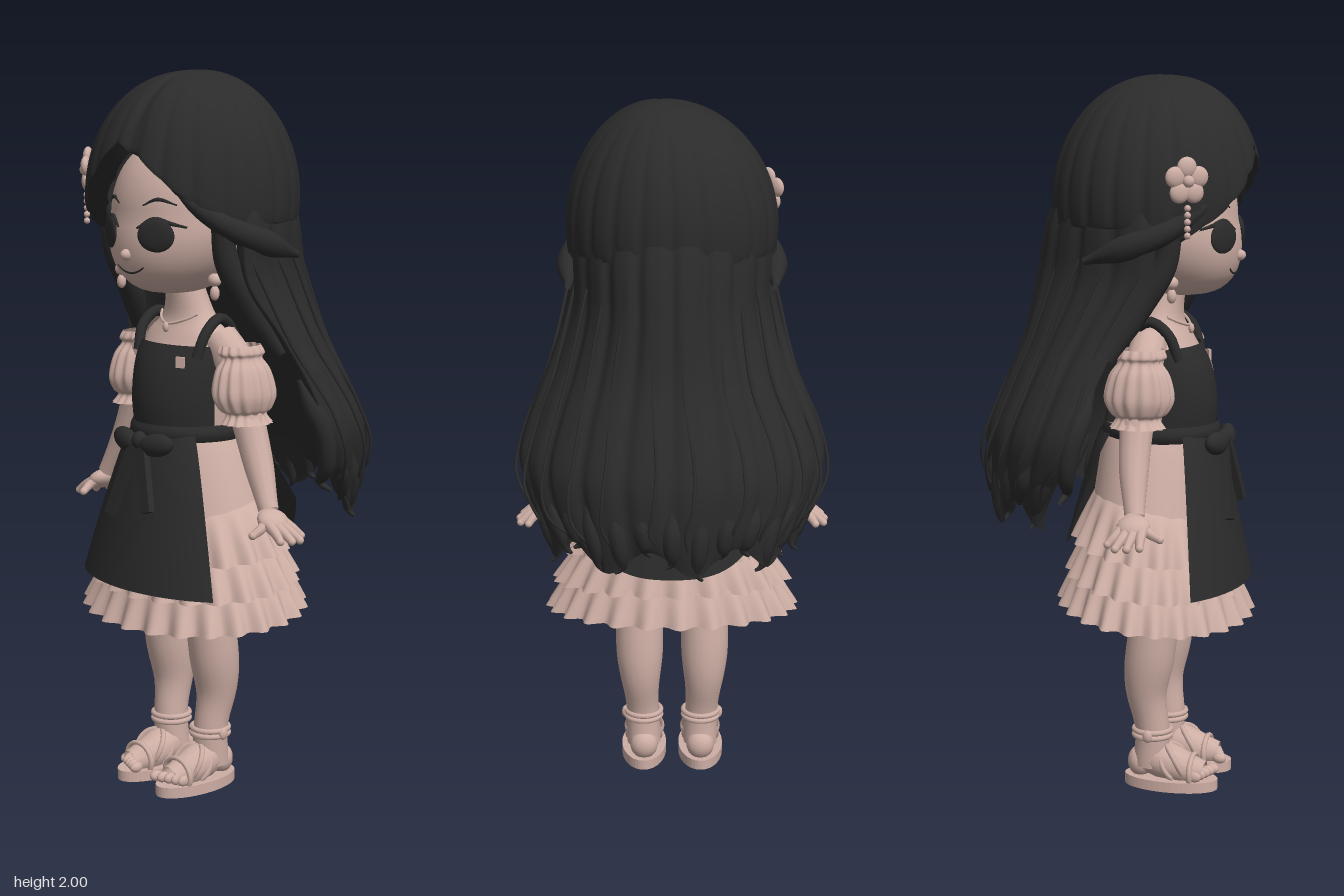
import * as THREE from 'three';
import { mergeVertices } from 'three/addons/utils/BufferGeometryUtils.js';

const skin = new THREE.MeshStandardMaterial({ color: 0xcdaea4, side: THREE.DoubleSide });
skin.name = 'warm skin and cloth';
const dark = new THREE.MeshStandardMaterial({ color: 0x2b2b2b, side: THREE.DoubleSide });
dark.name = 'soft black';

const { sin, cos, abs, PI, sqrt, pow, min, max } = Math;
const V = (p) => new THREE.Vector3(...p);

export function createModel() {
  const root = new THREE.Group();
  root.name = 'doll';

  function add(name, geo, mat, parent = root) {
    const m = new THREE.Mesh(geo, mat);
    m.name = name;
    parent.add(m);
    return m;
  }
  // Smooth grid surface from fn(u, v) -> [x, y, z]
  function surf(name, mat, nu, nv, fn, parent) {
    const pos = [], idx = [];
    for (let j = 0; j <= nv; j++)
      for (let i = 0; i <= nu; i++) pos.push(...fn(i / nu, j / nv));
    for (let j = 0; j < nv; j++)
      for (let i = 0; i < nu; i++) {
        const a = j * (nu + 1) + i, b = a + nu + 1;
        idx.push(a, a + 1, b, a + 1, b + 1, b);
      }
    let g = new THREE.BufferGeometry();
    g.setAttribute('position', new THREE.Float32BufferAttribute(pos, 3));
    g.setIndex(idx);
    g = mergeVertices(g, 1e-5);
    g.computeVertexNormals();
    return add(name, g, mat, parent);
  }
  // Catmull-Rom sample of a table of rows
  function sample(rows, t) {
    const f = t * (rows.length - 1), i = min(Math.floor(f), rows.length - 2), k = f - i;
    const r = (n) => rows[max(0, min(rows.length - 1, n))];
    return rows[0].map((_, c) => {
      const [p, a, b, q] = [r(i - 1)[c], r(i)[c], r(i + 1)[c], r(i + 2)[c]];
      return a + 0.5 * k * (b - p + k * (2 * p - 5 * a + 4 * b - q + k * (3 * (a - b) + q - p)));
    });
  }
  // Tapered tube along points, radii spread evenly along it
  function limb(name, mat, pts, radii, parent, seg = 24, sides = 12) {
    const curve = new THREE.CatmullRomCurve3(pts.map(V));
    const fr = curve.computeFrenetFrames(seg, false), rows = radii.map((r) => [r]);
    return surf(name, mat, sides, seg, (u, v) => {
      const k = Math.round(v * seg), p = curve.getPointAt(v), r = sample(rows, v)[0], a = u * 2 * PI;
      return p.addScaledVector(fr.normals[k], r * cos(a)).addScaledVector(fr.binormals[k], r * sin(a)).toArray();
    }, parent);
  }
  function ball(name, mat, p, s, parent, ry = 0) {
    const m = add(name, new THREE.SphereGeometry(1, 20, 14), mat, parent);
    m.position.set(...p);
    m.scale.set(...s);
    m.rotation.y = ry;
    return m;
  }
  const sides = (fn) => [['left', 1], ['right', -1]].forEach(([n, s]) => fn(n, s));

  // Head, with the chin pushed forward
  const faceZ = (x, y) => {
    const c = (y - 1.61) / 0.21, s = max(0, -c), w = pow(sqrt(1 - c * c), 0.72);
    return 0.12 + 0.06 * s + 0.21 * w * sqrt(max(0, 1 - (x / (0.22 * w * (1 - 0.15 * s * s))) ** 2));
  };
  surf('head', skin, 40, 28, (u, v) => {
    const c = cos(v * PI), s = max(0, -c), w = pow(max(0, sin(v * PI)), 0.72), a = u * 2 * PI;
    return [0.22 * w * (1 - 0.15 * s * s) * sin(a), 1.61 + 0.21 * c, 0.12 + 0.06 * s + 0.21 * w * cos(a)];
  });
  ball('nose', skin, [0, 1.512, 0.337], [0.016, 0.016, 0.021]);
  const smile = [-0.055, -0.03, 0, 0.03, 0.055].map((x) => [x, 1.462 + 6 * x * x, faceZ(x, 1.462 + 6 * x * x)]);
  limb('mouth', dark, smile, [0.002, 0.003, 0.002]);
  sides((n, s) => {
    ball(n + 'Eye', dark, [s * 0.097, 1.567, faceZ(0.097, 1.567)], [0.055, 0.044, 0.01], root, s * 0.42);
    const lash = [[0.04, 1.585], [0.085, 1.61], [0.13, 1.6], [0.165, 1.59]];
    limb(n + 'Lashes', dark, lash.map(([x, y]) => [s * x, y, faceZ(x, y) + 0.003]), [0.003, 0.007, 0.003]);
    const brow = [[0.05, 1.645], [0.09, 1.662], [0.14, 1.648]];
    limb(n + 'Brow', dark, brow.map(([x, y]) => [s * x, y, faceZ(x, y)]), [0.002, 0.005, 0.002]);
    ball(n + 'Ear', skin, [s * 0.2, 1.51, 0.17], [0.022, 0.04, 0.03]);
    ball(n + 'Earring', skin, [s * 0.2, 1.45, 0.2], [0.02, 0.018, 0.018]);
    ball(n + 'EarringDrop', skin, [s * 0.2, 1.415, 0.2], [0.013, 0.02, 0.013]);
  });

  // Hair cap, parted above the forehead, full in front and tucked in at the rim
  surf('hairCap', dark, 180, 32, (u, v) => {
    const a = u * 2 * PI - PI, x0 = 0.295 * sin(a), front = max(0, cos(a));
    const rim = abs(a) < 1.35 ? 1.81 - 0.92 * max(0, abs(x0 - 0.03) - 0.03) : 1.6;
    const t = min(1, v * 32 / 28), tuck = max(0, v * 32 - 28) ** 2 * 0.012;
    const th = t * Math.acos((rim - 1.66) / 0.34);
    const groove = 0.025 * pow(abs(cos(a * 11)), 8) * sin(th);
    const part = 0.025 * Math.exp(-(((a - 0.18) / 0.08) ** 2)) * sin(th);
    const r = pow(sin(th), 1 - 0.2 * front) * (1 - groove - part - tuck);
    return [0.295 * r * sin(a) + 0.03 * (1 - sin(min(th, PI / 2))),
      1.66 + 0.34 * cos(th) - part - tuck * 0.1, 0.1 + (cos(a) > 0 ? 0.303 : 0.285) * r * cos(a)];
  });
  // Swept locks over the temples
  sides((n, s) => limb(n + 'TempleLock', dark, [[s * 0.16, 1.71, 0.32], [s * 0.215, 1.645, 0.275], [s * 0.268, 1.585, 0.19], [s * 0.287, 1.55, 0.1], [s * 0.285, 1.51, -0.02]],
    [0.006, 0.022, 0.032, 0.034, 0.01], root, 36));

  // Long hair: crescent sections of [y, half width, back z, front z, inner ratio]
  const hairRows = [[1.75, 0.262, -0.15, 0.11, 0.5], [1.6, 0.296, -0.205, 0.17, 0.5], [1.45, 0.297, -0.235, 0.165, 0.5],
    [1.3, 0.34, -0.265, 0.08, 0.55], [1.18, 0.39, -0.31, 0.03, 0.6], [1.05, 0.43, -0.36, -0.01, 0.65],
    [0.95, 0.41, -0.37, -0.05, 0.75], [0.87, 0.37, -0.365, -0.1, 0.85], [0.82, 0.35, -0.355, -0.12, 0.97]];
  const hairPoint = (b, t, out = 1) => {
    const [y, w, zb, zf] = sample(hairRows, t);
    return [w * sin(b) * out, y + max(0, t - 0.8) * 0.18 * sin(b * 9), zf + (zb - zf) * cos(b) * out];
  };
  surf('longHair', dark, 200, 48, (u, v) => {
    const outer = u <= 0.65, b = outer ? (u / 0.65 - 0.5) * PI : (0.5 - (u - 0.65) / 0.35) * PI;
    const [, , , zf, ratio] = sample(hairRows, v);
    const p = hairPoint(b, v, outer ? 1 - 0.035 * pow(abs(cos(b * 10)), 6) : 1);
    if (!outer) {
      p[0] *= 0.7 + 0.3 * ratio;
      p[2] = zf + (p[2] - zf) * ratio;
    }
    return p;
  });
  // Curled tips along the hem and fine loose strands
  for (let i = 0; i < 15; i++) {
    const b = (i / 14 - 0.5) * 2.9, d = i % 2 ? 0.02 : -0.015;
    const top = hairPoint(b, 0.72, 0.94), mid = hairPoint(b, 0.88, 0.95), end = hairPoint(b, 1, 0.96);
    limb('hairTip', dark, [top, mid, end, [end[0] + d, end[1] - 0.02 + abs(d) * 0.4, end[2] - 0.005]],
      [0.012, 0.028, 0.024, 0.004], root, 16, 8);
  }
  for (const b of [-1.5, -1.2, -0.95, -0.7, -0.45, -0.12, 0.12, 0.45, 0.7, 0.95, 1.2, 1.5]) {
    const pts = [0.2, 0.4, 0.58, 0.7, 0.8, 0.9].map((t, i) => hairPoint(b + 0.03 * sin(i * 2), t, [0.97, 0.99, 1, 1.04, 1.03, 0.97][i]));
    limb('looseStrand', dark, pts, [0.005, 0.005, 0.004], root, 30, 6);
  }
  sides((n, s) => {
    limb(n + 'FaceLock', dark, [[s * 0.24, 1.6, 0.21], [s * 0.238, 1.5, 0.19], [s * 0.255, 1.38, 0.12], [s * 0.3, 1.25, 0.05]], [0.03, 0.035, 0.035, 0.02]);
    limb(n + 'SideCurl', dark, [[s * 0.34, 1.18, 0.02], [s * 0.395, 1.04, -0.02], [s * 0.385, 0.94, -0.04], [s * 0.35, 0.89, -0.05], [s * 0.385, 0.87, -0.06]], [0.01, 0.032, 0.028, 0.022, 0.005]);
  });

  // Flower clip with a short bead drop
  const clip = new THREE.Group();
  clip.name = 'flowerClip';
  clip.position.set(-0.268, 1.725, 0.255);
  clip.rotation.y = -0.85;
  root.add(clip);
  for (let i = 0; i < 5; i++) {
    const a = i * 0.4 * PI + PI / 2;
    ball('petal', skin, [0.036 * cos(a), 0.036 * sin(a), 0.005], [0.028, 0.028, 0.014], clip);
  }
  ball('flowerCentre', skin, [0, 0, 0.015], [0.016, 0.016, 0.014], clip);
  for (let i = 0; i < 5; i++) ball('bead', skin, [0, -0.07 - i * 0.018, 0.01], [0.009, 0.009, 0.009], clip);

  // Torso, apron bib and straps
  const torso = [[1.0, 0.14, 0.14, 0.12], [1.1, 0.15, 0.135, 0.132], [1.2, 0.155, 0.115, 0.132],
    [1.28, 0.148, 0.085, 0.12], [1.34, 0.085, 0.06, 0.12], [1.44, 0.05, 0.05, 0.14]];
  const bodyRing = (a, t, grow) => {
    const [y, rx, rz, zc] = sample(torso, t);
    return [(rx + grow) * sin(a), y, zc + (rz + grow) * cos(a)];
  };
  surf('torso', skin, 36, 24, (u, v) => bodyRing(u * 2 * PI, v, 0));
  surf('apronBib', dark, 30, 12, (u, v) => bodyRing((u - 0.5) * 2.7, 0.04 + v * 0.51, 0.01));
  surf('waistBand', dark, 48, 6, (u, v) => {
    const bulge = 0.018 + 0.008 * sin(v * PI), a = u * 2 * PI;
    return [(0.14 + bulge) * sin(a), 1.0 + 0.045 * v, 0.12 + (0.14 + bulge) * cos(a)];
  });
  sides((n, s) => limb(n + 'Strap', dark, [[s * 0.125, 1.23, 0.2], [s * 0.135, 1.3, 0.175], [s * 0.13, 1.335, 0.12], [s * 0.11, 1.27, 0.045], [s * 0.09, 1.05, -0.005]], [0.015, 0.015]));
  const chain = [-0.075, -0.05, 0, 0.05, 0.075].map((x) => [x, 1.315 + 5 * x * x, 0.2 - 8 * x * x]);
  limb('necklace', skin, chain, [0.004, 0.004], root, 24, 6);
  ball('pendant', skin, [0, 1.305, 0.205], [0.01, 0.014, 0.008]);
  const patch = add('bibPatch', new THREE.BoxGeometry(0.025, 0.03, 0.008), skin);
  patch.position.set(0.095, 1.22, 0.233);
  patch.rotation.y = 0.5;

  // Skirt and three tilted ruffles: [top y, bottom y, rx top, rx bottom, rz top, rz bottom]
  const flare = (name, mat, [y0, y1, x0, x1, z0, z1], a0, a1, waves, lift, nu, hem = () => 0) =>
    surf(name, mat, nu, 10, (u, v) => {
      const a = a0 + (a1 - a0) * u, t = pow(v, 0.85);
      const w = waves ? v * sin(a * waves) * 0.014 : 0;
      return [(x0 + (x1 - x0) * t + w) * sin(a), y0 + (y1 + hem(u) - y0) * v + lift * (1 - cos(a)),
        0.108 + (z0 + (z1 - z0) * t + w) * cos(a)];
    });
  flare('skirt', skin, [1.02, 0.68, 0.135, 0.26, 0.14, 0.19], 0, 2 * PI, 0, 0.02, 60);
  flare('upperRuffle', skin, [0.8, 0.665, 0.215, 0.315, 0.165, 0.222], 0, 2 * PI, 20, 0.03, 200);
  flare('middleRuffle', skin, [0.7, 0.57, 0.25, 0.34, 0.18, 0.238], 0, 2 * PI, 22, 0.03, 200);
  flare('lowerRuffle', skin, [0.62, 0.485, 0.28, 0.36, 0.205, 0.262], 0, 2 * PI, 24, 0.03, 220);
  flare('apronFront', dark, [1.02, 0.595, 0.18, 0.37, 0.168, 0.264], -0.87, 0.87, 0, 0, 30);
  flare('apronBack', dark, [1.02, 0.69, 0.17, 0.33, 0.16, 0.25], PI - 0.9, PI + 0.9, 0, 0, 30, (u) => 0.14 * pow(abs(2 * u - 1), 3));

  // Waist bow with hanging tails
  ball('bowKnot', dark, [0, 1.0, 0.3], [0.024, 0.026, 0.022]);
  sides((n, s) => {
    ball(n + 'BowLoop', dark, [s * 0.066, 0.995, 0.295], [0.058, 0.032, 0.024], root, s * 0.2).rotation.z = s * 0.15;
    const len = s > 0 ? 0.18 : 0.21;
    const tail = add(n + 'BowTail', new THREE.BoxGeometry(0.034, len, 0.02), dark);
    tail.position.set(s * 0.05, 0.99 - len / 2, 0.322);
    tail.rotation.set(-0.16, 0, s * 0.32);
  });

  sides((n, s) => {
    // Arm, puff sleeve and hand
    limb(n + 'Arm', skin, [[s * 0.13, 1.28, 0.12], [s * 0.19, 1.22, 0.12], [s * 0.235, 1.08, 0.115], [s * 0.285, 0.96, 0.12], [s * 0.35, 0.84, 0.14]],
      [0.05, 0.055, 0.047, 0.041, 0.028]);
    const sleeve = [[1.27, 0.058], [1.25, 0.066], [1.235, 0.056], [1.2, 0.077], [1.14, 0.089], [1.1, 0.073], [1.085, 0.056], [1.06, 0.071]];
    surf(n + 'PuffSleeve', skin, 96, 28, (u, v) => {
      const [y, r] = sample(sleeve, v), a = u * 2 * PI, k = r * (1 + 0.05 * sin(a * 14));
      return [s * (0.207 + 0.032 * v) + 0.82 * k * cos(a), y, 0.117 + 1.05 * k * sin(a)];
    });
    ball(n + 'Palm', skin, [s * 0.37, 0.815, 0.142], [0.042, 0.026, 0.046]).rotation.z = -s * 0.5;
    const tips = [[0.418, 0.775, 0.085], [0.443, 0.77, 0.112], [0.447, 0.772, 0.145], [0.438, 0.775, 0.178], [0.37, 0.785, 0.215]];
    tips.forEach(([x, y, z], i) => {
      const base = i < 4 ? [s * 0.38, 0.81, 0.115 + i * 0.018] : [s * 0.355, 0.82, 0.155];
      limb(n + 'Finger', skin, [base, [s * (x * 0.6 + 0.152), (base[1] + y) / 2, (base[2] + z) / 2], [s * x, y, z]], [0.016, 0.014, 0.011], root, 10, 8);
      ball(n + 'Fingertip', skin, [s * x, y, z], [0.011, 0.011, 0.011]);
    });

    // Leg and foot
    limb(n + 'Leg', skin, [[s * 0.09, 0.8, 0.12], [s * 0.095, 0.5, 0.128], [s * 0.097, 0.4, 0.117], [s * 0.095, 0.28, 0.104], [s * 0.088, 0.16, 0.12], [s * 0.085, 0.06, 0.115]],
      [0.09, 0.078, 0.07, 0.069, 0.05, 0.05], root, 30, 20);
    limb(n + 'Foot', skin, [[s * 0.085, 0.07, 0.075], [s * 0.085, 0.075, 0.14], [s * 0.086, 0.056, 0.21], [s * 0.088, 0.045, 0.27]], [0.034, 0.053, 0.05, 0.035]);
    ball(n + 'Heel', skin, [s * 0.085, 0.065, 0.085], [0.042, 0.045, 0.037]);
    for (let i = 0; i < 5; i++)
      ball(n + 'Toe', skin, [s * (0.045 + i * 0.021), 0.045, 0.285 - i * 0.008], [0.014 - i * 0.001, 0.015, 0.02]);

    // Sandal sole and straps
    const outline = new THREE.Shape();
    outline.absellipse(0, 0, 0.067, 0.135, 0, 2 * PI);
    const soleGeo = new THREE.ExtrudeGeometry(outline, { depth: 0.03, bevelEnabled: false, curveSegments: 24 });
    const sole = add(n + 'Sole', soleGeo, skin);
    sole.rotation.x = -PI / 2;
    sole.position.set(s * 0.086, 0, 0.175);
    const strap = (r, y, z, tx, ty, h = 1) => {
      const m = add(n + 'SandalStrap', new THREE.TorusGeometry(r, 0.008, 8, 28), skin);
      m.position.set(s * 0.086, y, z);
      m.rotation.set(tx, ty, 0);
      m.scale.y = h;
    };
    strap(0.052, 0.148, 0.12, PI / 2, 0);
    strap(0.052, 0.164, 0.12, PI / 2, 0);
    strap(0.054, 0.05, 0.24, 0, 0, 0.85);
    strap(0.054, 0.07, 0.185, -0.5, 0.4);
    strap(0.054, 0.07, 0.185, -0.5, -0.4);
    ball(n + 'Buckle', skin, [s * 0.142, 0.156, 0.12], [0.01, 0.018, 0.014]);
  });

  return root;
}
